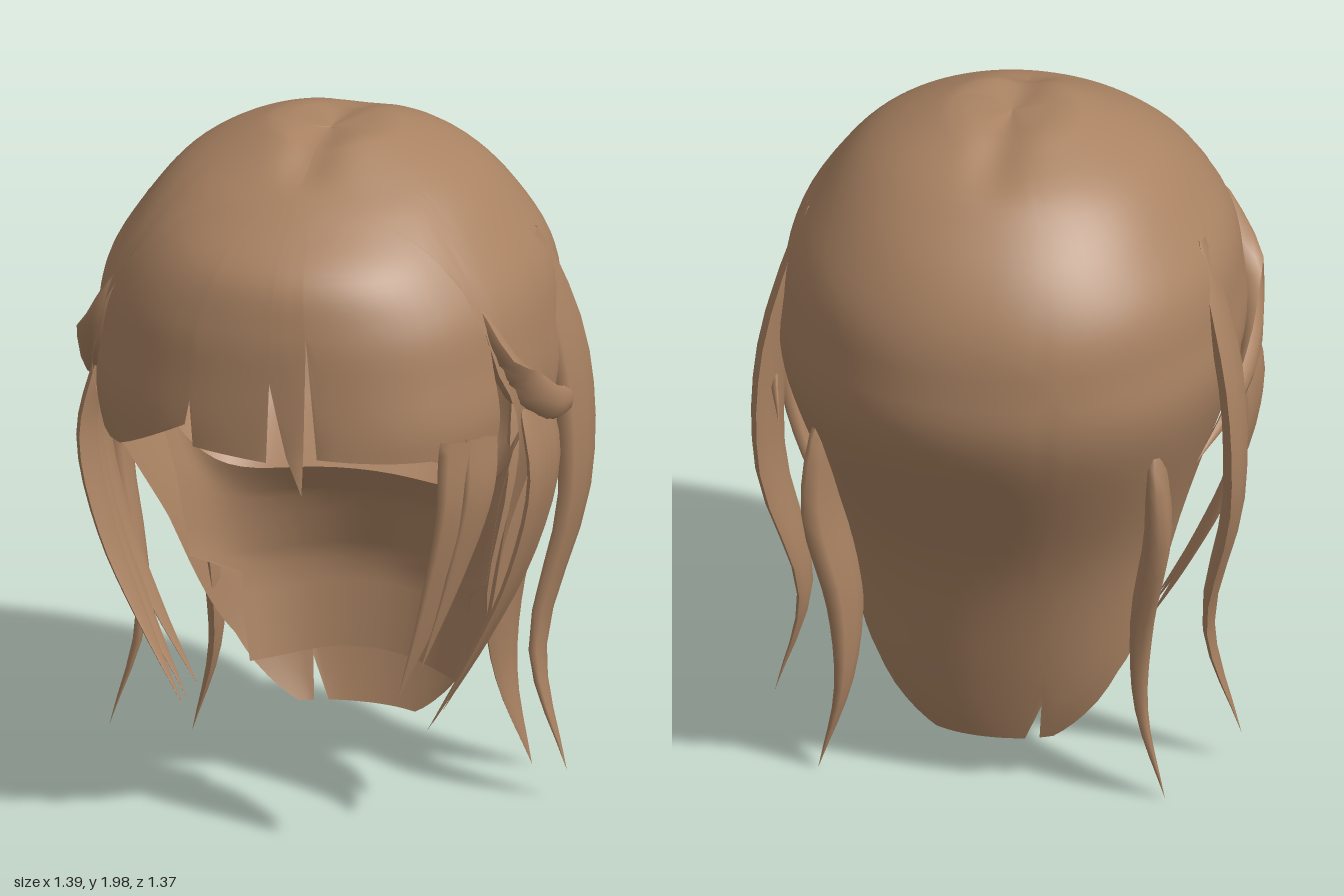
import * as THREE from 'three';

const hair = new THREE.MeshStandardMaterial({ color: 0xa98262, side: THREE.DoubleSide });
hair.name = 'brown hair';

// Horizontal sections of the head of hair: y, half width, back z, front z
const SECTIONS = [
  [2.0, 0, 0, 0], [1.995, 0.13, -0.14, 0.14], [1.98, 0.2, -0.2, 0.2], [1.92, 0.33, -0.36, 0.32],
  [1.85, 0.43, -0.46, 0.45], [1.74, 0.52, -0.57, 0.6], [1.6, 0.605, -0.65, 0.655],
  [1.45, 0.63, -0.68, 0.675], [1.22, 0.63, -0.67, 0.69], [0.75, 0.48, -0.46, 0.69],
  [0.35, 0.42, -0.36, 0.69], [0.22, 0.37, -0.33, 0.69], [0.15, 0.31, -0.31, 0.69],
];
// Where the cap stops towards the face: y, z
const CAP_EDGE = [[2, 0.39], [1.45, 0.36], [1.22, 0.25], [0.75, -0.04], [0.35, -0.23], [0.15, -0.27]];
const BACK_N = 2.2;

// The sections smoothed into a dense table
const splines = [1, 2, 3].map(k => new THREE.SplineCurve(SECTIONS.map(s => new THREE.Vector2(s[0], s[k]))));
const SMOOTH = Array.from({ length: 121 }, (_, i) => {
  const [w, back, front] = splines.map(s => s.getPoint(i / 120));
  return [w.x, w.y, back.y, front.y];
});

// Linear lookup in a table sorted by falling first column
function lookup(table, y) {
  let i = 0;
  while (i < table.length - 2 && y < table[i + 1][0]) i++;
  const a = table[i], b = table[i + 1];
  const t = THREE.MathUtils.clamp((a[0] - y) / (a[0] - b[0]), 0, 1);
  return a.map((v, k) => v + (b[k] - v) * t);
}

// The front gets squarer towards the hem of the fringe
const frontPower = y => 2 + 0.5 * THREE.MathUtils.clamp((1.9 - y) / 0.6, 0, 1);

// Point on a section; angle 0 is the back, PI the front
function ringPoint([y, w, back, front], angle) {
  const c = Math.cos(angle), s = Math.sin(angle);
  const n = c > 0 ? BACK_N : frontPower(y);
  return [w * Math.sign(s) * Math.abs(s) ** (2 / n), y, (c > 0 ? back : front) * Math.abs(c) ** (2 / n)];
}

// Smooth surface from a grid of points
function grid(rows, cols, fn) {
  const pos = [], index = [];
  for (let r = 0; r <= rows; r++) for (let c = 0; c <= cols; c++) pos.push(...fn(r, c));
  for (let r = 0; r < rows; r++) for (let c = 0; c < cols; c++) {
    const a = r * (cols + 1) + c, b = a + cols + 1;
    index.push(a, b, a + 1, a + 1, b, b + 1);
  }
  const g = new THREE.BufferGeometry();
  g.setAttribute('position', new THREE.Float32BufferAttribute(pos, 3));
  g.setIndex(index);
  g.computeVertexNormals();
  return g;
}

// Crown, sides and long back: each column runs down from the crown to the face edge or hem
function capGeometry() {
  const rows = 40, cols = 96;
  const angleOf = c => (c / cols * 2 - 1) * Math.PI;
  const bottoms = Array.from({ length: cols + 1 }, (_, c) => {
    let y = 1.99;
    while (y > 0.15 && ringPoint(lookup(SMOOTH, y), angleOf(c))[2] < lookup(CAP_EDGE, y)[1]) y -= 0.002;
    return c === 43 ? y + 0.12 : y; // nick in the back hem
  });
  return grid(rows, cols, (r, c) => {
    const y = 2 - (2 - bottoms[c]) * (r / rows) ** 1.6;
    const p = ringPoint(lookup(SMOOTH, y), angleOf(c));
    // parting dip on the crown
    p[1] -= 0.028 * Math.exp(-((p[0] / 0.07) ** 2)) * THREE.MathUtils.smoothstep(y, 1.89, 1.97);
    return p;
  });
}

// Fringe hem: x, y
const HEM = [[-0.6, 1.16], [-0.5, 1.18], [-0.25, 1.31], [-0.24, 1.38], [-0.225, 1.25],
  [0, 1.23], [0.005, 1.46], [0.06, 1.25], [0.11, 1.14], [0.118, 1.59], [0.15, 1.25], [0.46, 1.23], [0.6, 1.16]];

function fringeGeometry() {
  // hem corners plus even steps between them
  const cols = HEM.slice(1).flatMap(([x, y], i) => {
    const [px, py] = HEM[i], n = Math.ceil((x - px) / 0.05);
    return Array.from({ length: n }, (_, k) => [px + (x - px) * k / n, py + (y - py) * k / n]);
  });
  cols.push(HEM[HEM.length - 1]);
  const rows = 30;
  return grid(rows, cols.length - 1, (r, c) => {
    const [x, bottom] = cols[c];
    const y = Math.max(bottom, 1.89 - 0.75 * (r / rows) ** 1.3);
    const [, w, , front] = lookup(SMOOTH, y), n = frontPower(y);
    const px = x / 0.6 * w * (1 - (0.35 / front) ** n) ** (1 / n);
    const pz = front * (1 - Math.abs(px / w) ** n) ** (1 / n);
    return [px * 0.985, y - 0.008, pz * 0.985];
  });
}

// Inner bowl and the slope under its lip: y, half width, back z, rise at the sides
const BOWL = [[1.6, 0.57, -0.62, 0], [1.25, 0.59, -0.6, 0.02], [1.0, 0.56, -0.46, 0.15], [0.86, 0.53, -0.26, 0.26]];
const UNDERSIDE = [[0.86, 0.53, -0.26, 0.26], [0.76, 0.47, -0.32, 0.12], [0.55, 0.42, -0.38, 0], [0.3, 0.37, -0.345, 0]];

function liningGeometry(table) {
  const rows = (table.length - 1) * 4;
  return grid(rows, 32, (r, c) => {
    const i = Math.min(Math.floor(r / 4), table.length - 2);
    const [y, w, back, rise] = table[i].map((v, k) => v + (table[i + 1][k] - v) * (r / 4 - i));
    const a = (c / 32 * 2 - 1) * (y < 0.6 ? 0.9 : 1.4);
    const p = ringPoint([y, w, back, 0], a);
    p[1] += rise * Math.abs(Math.sin(a)) ** 5 - 0.03 * Math.sin(2 * a) ** 2;
    return p;
  });
}

// Strand along a path: root 0 starts at a point, 0.5 starts at full half width
function strandGeometry(path, across, half, flat, root, side) {
  const curve = new THREE.CatmullRomCurve3(path.map(([x, y, z]) => new THREE.Vector3(x * side, y, z)));
  const wide = new THREE.Vector3(across[0] * side, across[1], across[2]);
  const rows = 16, cols = 8;
  return grid(rows, cols, (r, c) => {
    const t = r / rows, a = c / cols * Math.PI * 2;
    const size = half * Math.sin(Math.PI * (root + (1 - root) * t ** (0.6 + 0.6 * root)));
    const tangent = curve.getTangent(t);
    const u = wide.clone().addScaledVector(tangent, -wide.dot(tangent)).normalize();
    const v = new THREE.Vector3().crossVectors(tangent, u);
    return curve.getPoint(t).addScaledVector(u, Math.cos(a) * size)
      .addScaledVector(v, Math.sin(a) * size * flat).toArray();
  });
}

const OUTER = [[0.55, 1.68, -0.1], [0.645, 1.28, -0.16], [0.655, 0.9, -0.165], [0.57, 0.45, -0.09], [0.66, 0.1, -0.07]];
const BACK = [[0.46, 1.2, -0.36], [0.475, 0.88, -0.34], [0.42, 0.55, -0.29], [0.42, 0.28, -0.305], [0.49, 0.01, -0.32]];
const TUCKED = [[0.5, 1.64, 0.34], [0.6, 1.4, 0.28], [0.655, 1.26, 0.1], [0.65, 1.19, -0.13], [0.59, 1.12, -0.38]];
const SIDE = [[0.61, 1.31], [0.65, 1.08], [0.59, 0.8], [0.48, 0.55], [0.35, 0.31]];
const FACE = [[0.52, 1.26, 0.455], [0.505, 1.06, 0.475], [0.43, 0.78, 0.49], [0.33, 0.48, 0.51]];

export function createModel() {
  const group = new THREE.Group();
  group.name = 'wig';
  const add = (name, geometry) => {
    const mesh = new THREE.Mesh(geometry, hair);
    mesh.name = name;
    group.add(mesh);
  };
  add('cap', capGeometry());
  add('fringe', fringeGeometry());
  add('inner bowl', liningGeometry(BOWL));
  add('nape underside', liningGeometry(UNDERSIDE));

  for (const [label, side] of [['left', 1], ['right', -1]]) {
    add(label + ' outer strand', strandGeometry(OUTER, [0.1, 0, -1], 0.12, 0.3, 0.1, side));
    add(label + ' back strand', strandGeometry(BACK, [-0.2, 0, 1], 0.13, 0.3, 0.1, side));
    add(label + ' tucked lock', strandGeometry(TUCKED, [0, 1, 0.6], 0.06, 0.6, 0, side));
    // side locks fan out from a shared root to separate tips
    [0.27, 0.22, 0.11].forEach((tip, i) => {
      const start = 0.18 - 0.05 * i;
      const path = SIDE.map(([x, y], k) => [x, y, start + (tip - start) * (k / 4) ** 2]);
      add(`${label} side lock ${i + 1}`, strandGeometry(path, [0, 0, 1], 0.09, 0.25, 0.2, side));
    });
  }

  // locks beside the face on the left only
  add('long face lock', strandGeometry(FACE, [0.6, 0, -0.8], 0.1, 0.15, 0.45, 1));
  const shortPath = FACE.map(([x, y, z], k) => [x + 0.03 + 0.01 * k, y + 0.03 * k, z - 0.03]);
  add('short face lock', strandGeometry(shortPath, [0.6, 0, -0.8], 0.06, 0.2, 0.4, 1));
  return group;
}
